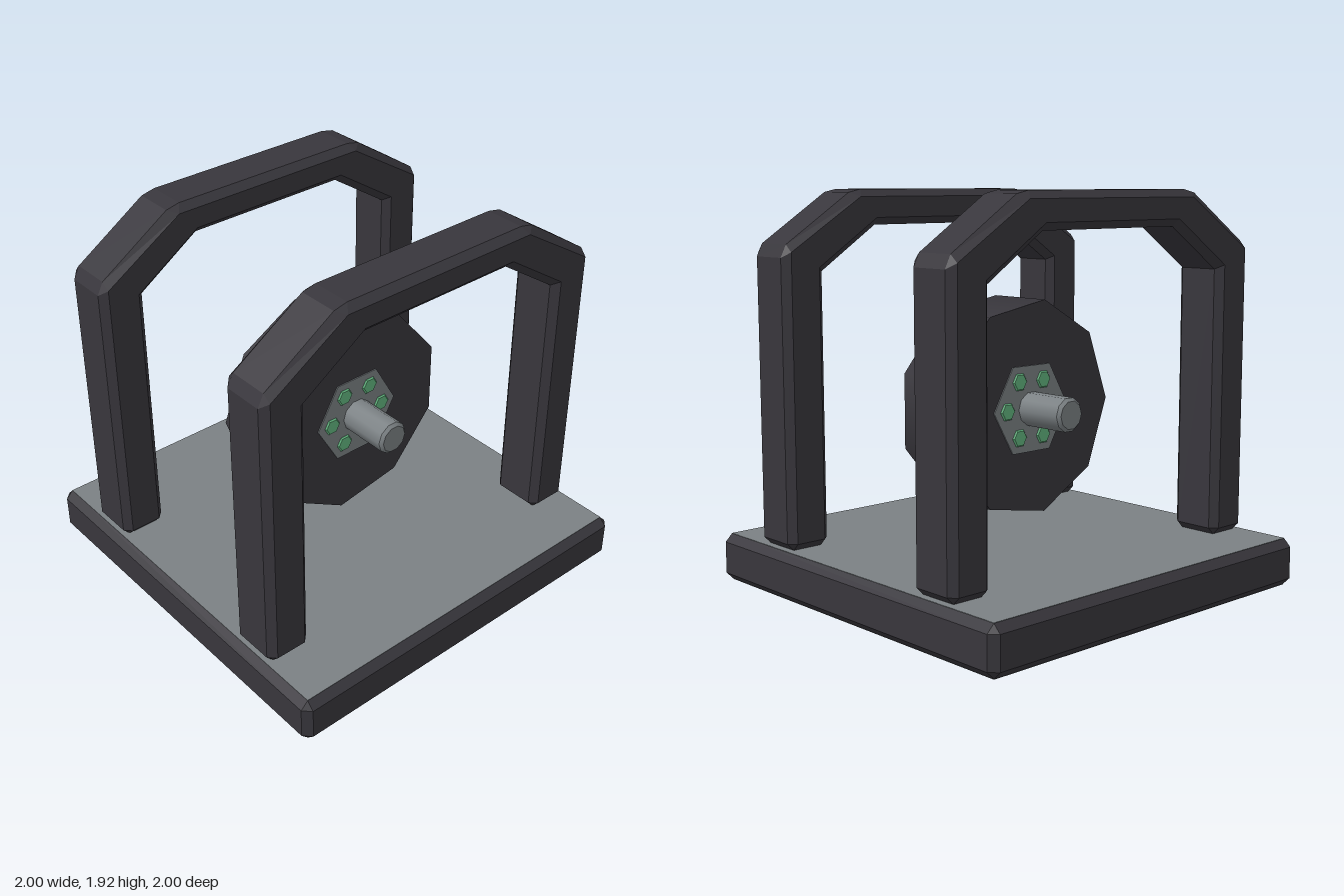
import * as THREE from 'three';
import { toCreasedNormals } from 'three/addons/utils/BufferGeometryUtils.js';
import { ConvexGeometry } from 'three/addons/geometries/ConvexGeometry.js';

const material = (name, color) => {
  const m = new THREE.MeshStandardMaterial({ color });
  m.name = name;
  return m;
};

function addMesh(parent, name, geometry, mat, x = 0, y = 0, z = 0) {
  const mesh = new THREE.Mesh(geometry, mat);
  mesh.name = name;
  mesh.position.set(x, y, z);
  parent.add(mesh);
  return mesh;
}

// Turns a geometry built along y so that it lies along z, first corner at -x
const alongZ = (g) => g.rotateX(Math.PI / 2).rotateZ(-Math.PI / 2);

// Prism with chamfered ends, lying along z
function chamferedRod(radius, length, chamfer, sides) {
  const h = length / 2;
  const profile = [
    [0, -h], [radius - chamfer, -h], [radius, -h + chamfer],
    [radius, h - chamfer], [radius - chamfer, h], [0, h],
  ].map(([r, y]) => new THREE.Vector2(r, y));
  return alongZ(new THREE.LatheGeometry(profile, sides));
}

// Box with every edge cut at 45 degrees
function chamferedBox(w, h, d, c) {
  const points = [];
  for (const sx of [-1, 1]) for (const sy of [-1, 1]) for (const sz of [-1, 1]) {
    for (let full = 0; full < 3; full++) {
      const [x, y, z] = [w, h, d].map((s, i) => s / 2 - (i === full ? 0 : c));
      points.push(new THREE.Vector3(sx * x, sy * y, sz * z));
    }
  }
  return new ConvexGeometry(points);
}

// Bent arch: octagonal sections swept from the right foot over to the left foot
function archGeometry(halfDepth, c) {
  // each section: inner side, inner face edge, outer face edge, outer side
  const half = [
    [[0.77, 0.235], [0.77, 0.235], [0.925, 0.235], [0.925, 0.235]],
    [[0.735, 0.27], [0.77, 0.27], [0.925, 0.27], [0.96, 0.27]],
    [[0.735, 1.545], [0.77, 1.565], [0.925, 1.64], [0.96, 1.615]],
    [[0.735, 1.545], [0.77, 1.565], [0.925, 1.64], [0.93, 1.675]],
    [[0.42, 1.755], [0.43, 1.79], [0.525, 1.89], [0.57, 1.91]],
    [[0.42, 1.755], [0.43, 1.79], [0.525, 1.89], [0.5, 1.925]],
  ];
  const mirrored = half.map((s) => s.map(([x, y]) => [-x, y])).reverse();
  const sections = [...half, ...mirrored];
  const side = halfDepth - c;
  const rings = sections.map((s, i) => {
    const face = i === 0 || i === sections.length - 1 ? side : halfDepth;
    const [I, F, G, O] = s;
    return [
      [...O, side], [...G, face], [...F, face], [...I, side],
      [...I, -side], [...F, -face], [...G, -face], [...O, -side],
    ];
  });
  const pos = [];
  const tri = (a, b, d) => pos.push(...a, ...b, ...d);
  for (let i = 0; i < rings.length - 1; i++) {
    for (let j = 0; j < 8; j++) {
      const k = (j + 1) % 8;
      const a = rings[i][j], b = rings[i][k], p = rings[i + 1][j], q = rings[i + 1][k];
      tri(a, p, b);
      tri(b, p, q);
    }
  }
  // feet
  const first = rings[0], last = rings[rings.length - 1];
  for (let j = 1; j < 7; j++) {
    tri(first[0], first[j], first[j + 1]);
    tri(last[0], last[j + 1], last[j]);
  }
  const g = new THREE.BufferGeometry();
  g.setAttribute('position', new THREE.Float32BufferAttribute(pos, 3));
  g.computeVertexNormals();
  return g;
}

export function createModel() {
  const dark = material('dark rubber', 0x38363c);
  const grey = material('grey metal', 0x7b8184);
  const green = material('green bolts', 0x62b57f);
  const model = new THREE.Group();
  model.name = 'wheelStand';

  // Base: dark chamfered rim with grey top and bottom panels
  addMesh(model, 'baseRim', chamferedBox(2, 0.231, 2, 0.037), dark, 0, 0.1175, 0);
  addMesh(model, 'basePanel', new THREE.BoxGeometry(1.926, 0.235, 1.926), grey, 0, 0.1175, 0);

  // Two arches, front and back
  const arch = archGeometry(0.133, 0.035);
  addMesh(model, 'frontArch', arch, dark, 0, 0, 0.577);
  addMesh(model, 'backArch', arch, dark, 0, 0, -0.577);

  // Wheel assembly
  const wheel = new THREE.Group();
  wheel.name = 'wheelAssembly';
  wheel.position.y = 0.89;
  model.add(wheel);
  addMesh(wheel, 'tyre', alongZ(new THREE.CylinderGeometry(0.523, 0.523, 0.344, 9)), dark);
  addMesh(wheel, 'hub', toCreasedNormals(alongZ(new THREE.CylinderGeometry(0.24, 0.24, 0.355, 6)), 0.5), grey);
  addMesh(wheel, 'axle', toCreasedNormals(chamferedRod(0.083, 0.885, 0.015, 10), 0.7), grey);

  // Six bolts through the hub, showing on both sides
  const bolt = toCreasedNormals(chamferedRod(0.046, 0.37, 0.007, 6), 0.5);
  for (let i = 0; i < 6; i++) {
    const a = (i * Math.PI) / 3;
    addMesh(wheel, 'bolt', bolt, green, 0.155 * Math.cos(a), 0.155 * Math.sin(a), 0);
  }
  return model;
}
